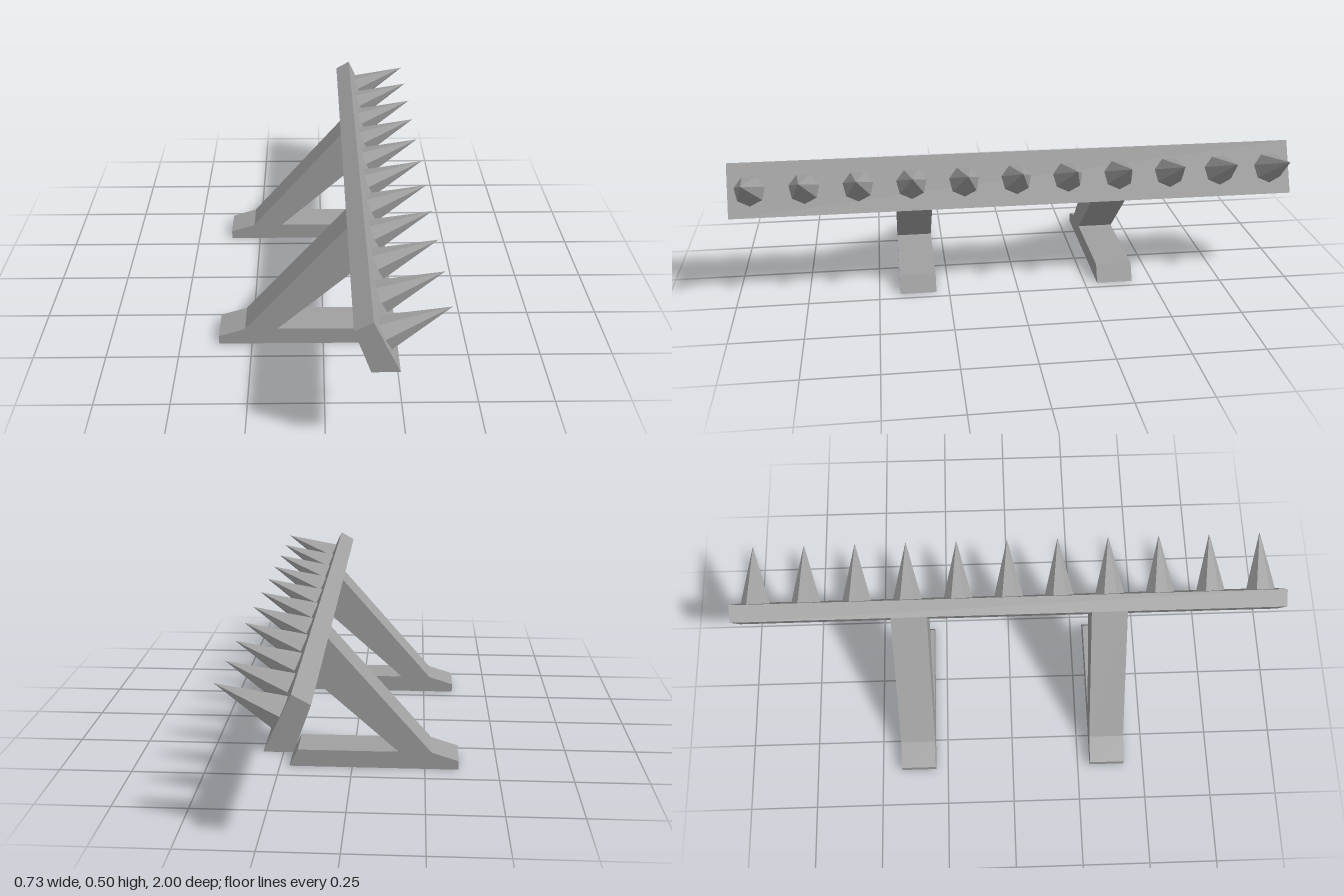
import * as THREE from 'three';

// Extrudes an x-y profile along z, centred on zCentre.
function prism(points, depth, zCentre, material, name) {
  const shape = new THREE.Shape(points.map(([x, y]) => new THREE.Vector2(x, y)));
  const geometry = new THREE.ExtrudeGeometry(shape, { depth, bevelEnabled: false });
  geometry.translate(0, 0, zCentre - depth / 2);
  const mesh = new THREE.Mesh(geometry, material);
  mesh.name = name;
  return mesh;
}

export function createModel() {
  const model = new THREE.Group();
  model.name = 'spikedBarrier';

  const grey = new THREE.MeshStandardMaterial({ color: 0xa0a0a0 });
  grey.name = 'plain grey';

  // Long bar with a slanted front face
  const barProfile = [[0.13, 0.323], [0.215, 0.323], [0.133, 0.498], [0.078, 0.467]];
  model.add(prism(barProfile, 2, 0, grey, 'bar'));

  // Two supports, each a flat foot with a leaning strut
  const supportProfile = [
    [-0.365, 0], [0.217, 0], [0.187, 0.062], [-0.14, 0.062], [-0.158, 0.064],
    [0.13, 0.323], [0.078, 0.467], [-0.272, 0.062], [-0.365, 0.032],
  ];
  for (const side of [-1, 1]) {
    model.add(prism(supportProfile, 0.13, side * 0.361, grey, side > 0 ? 'frontSupport' : 'backSupport'));
  }

  // Row of seven-sided spikes standing square to the slanted face
  const base = new THREE.Vector2(0.175, 0.409);
  const tip = new THREE.Vector2(0.363, 0.498);
  const height = base.distanceTo(tip);
  const spikeGeometry = new THREE.ConeGeometry(0.054, height, 7, 1, false, Math.PI / 2).toNonIndexed();
  spikeGeometry.computeVertexNormals();
  const tilt = Math.atan2(tip.y - base.y, tip.x - base.x) - Math.PI / 2;
  for (let i = 0; i < 11; i++) {
    const spike = new THREE.Mesh(spikeGeometry, grey);
    spike.name = 'spike' + (i + 1);
    spike.position.set((base.x + tip.x) / 2, (base.y + tip.y) / 2, (i - 5) * 0.185);
    spike.rotation.z = tilt;
    model.add(spike);
  }

  return model;
}
